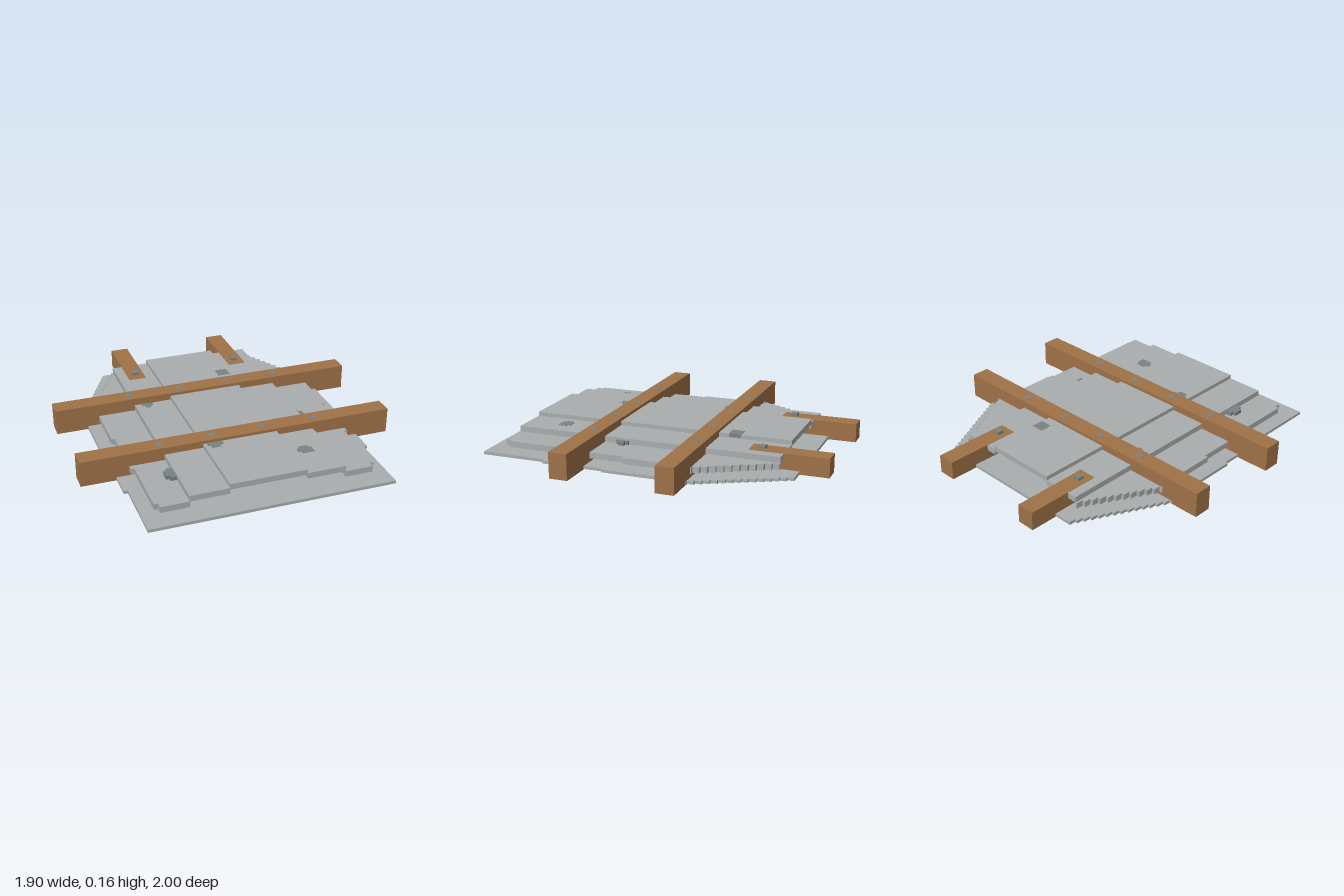
import * as THREE from 'three';

export function createModel() {
  const group = new THREE.Group();
  const mat = (name, color) => {
    const m = new THREE.MeshStandardMaterial({ color });
    m.name = name;
    return m;
  };
  const grey = mat('pale stone', 0xa9adad);
  const dark = mat('dark stone', 0x798384);
  const brown = mat('wood', 0x9f7248);

  const add = (name, geometry, material) => {
    const mesh = new THREE.Mesh(geometry, material);
    mesh.name = name;
    group.add(mesh);
  };
  // Box given by its limits on each axis
  const box = (name, material, x0, x1, y0, y1, z0, z1) => {
    const g = new THREE.BoxGeometry(x1 - x0, y1 - y0, z1 - z0);
    g.translate((x0 + x1) / 2, (y0 + y1) / 2, (z0 + z1) / 2);
    add(name, g, material);
  };
  // Slab with an outline of [x, z] points
  const slab = (name, points, y0, y1) => {
    const shape = new THREE.Shape(points.map(([x, z]) => new THREE.Vector2(x, z)));
    const g = new THREE.ExtrudeGeometry(shape, { depth: y1 - y0, bevelEnabled: false });
    g.rotateX(Math.PI / 2).translate(0, y1, 0);
    add(name, g, grey);
  };
  // Staircase edge running from front (x0, z0) to back (x1, z1)
  const stairs = (x0, z0, x1, z1, n) => {
    const pts = [];
    for (let i = 0; i < n; i++) {
      const x = x0 + (x1 - x0) * i / (n - 1);
      pts.push([x, z0 + (z1 - z0) * i / n], [x, z0 + (z1 - z0) * (i + 1) / n]);
    }
    return pts;
  };
  const flip = (pts) => pts.map(([x, z]) => [-x, z]);

  // Thin base plate with stepped sides
  const baseEdge = [
    [0.722, 1], [0.722, 0.6], [0.745, 0.6], [0.745, 0.22], [0.76, 0.22], [0.76, -0.26],
    ...stairs(0.78, -0.26, 0.512, -0.83, 15),
  ];
  slab('basePlate', [...baseEdge, ...flip(baseEdge).reverse()], 0.002, 0.02);

  // Outer planks, stepped to follow the base
  const outerEdge = [
    [0.457, 0.9], [0.625, 0.9], [0.625, 0.862], [0.648, 0.862], [0.648, 0.48], [0.668, 0.48],
    [0.668, 0.12], [0.688, 0.12], [0.688, -0.26],
    ...stairs(0.707, -0.26, 0.472, -0.735, 12), [0.457, -0.735],
  ];
  slab('outerPlankLeft', outerEdge, 0.041, 0.077);
  slab('outerPlankRight', flip(outerEdge), 0.041, 0.077);

  // Middle and centre planks, rising toward the middle
  box('middlePlankLeft', grey, 0.225, 0.457, 0.077, 0.112, -0.735, 0.9);
  box('middlePlankRight', grey, -0.46, -0.228, 0.077, 0.112, -0.735, 0.9);
  box('centrePlank', grey, -0.23, 0.225, 0.103, 0.137, -0.735, 0.9);

  // Cross beams with four nail heads each
  for (const [z0, z1] of [[-0.295, -0.185], [0.335, 0.446]]) {
    box('crossBeam', brown, -0.952, 0.95, 0, 0.155, z0, z1);
    const z = (z0 + z1) / 2;
    for (const x of [-0.477, -0.16, 0.152, 0.477]) {
      box('nailHead', dark, x - 0.018, x + 0.018, 0.14, 0.1565, z - 0.018, z + 0.018);
    }
  }

  // Rear handles with raised bolts
  for (const x of [-0.345, 0.341]) {
    box('rearHandle', brown, x - 0.055, x + 0.055, 0, 0.114, -1, -0.53);
    box('handleBolt', dark, x - 0.019, x + 0.019, 0.1, 0.132, -0.619, -0.581);
  }

  // Dark patches on the planks: x0, x1, y0, y1, z0, z1
  const patches = [
    [0.15, 0.2265, 0.117, 0.1385, -0.43, -0.355],
    [-0.42, -0.35, 0.1, 0.1135, -0.185, -0.155], [-0.402, -0.367, 0.1, 0.1135, -0.155, -0.128],
    [-0.21, -0.115, 0.12, 0.1385, 0.446, 0.48], [-0.193, -0.138, 0.12, 0.1385, 0.48, 0.506],
    [0.268, 0.36, 0.1, 0.1135, 0.638, 0.672], [0.285, 0.342, 0.1, 0.1135, 0.617, 0.638],
    [0.285, 0.36, 0.1, 0.1135, 0.672, 0.694],
  ];
  for (const p of patches) box('stonePatch', dark, ...p);

  // Raised lumps beside the middle planks
  const lumps = [
    [0.45, 0.472, 0.077, 0.1, 0.18, 0.255], [0.472, 0.492, 0.077, 0.1, 0.2, 0.235],
    [-0.495, -0.455, 0.077, 0.1, 0.575, 0.672], [-0.515, -0.495, 0.077, 0.1, 0.597, 0.65],
  ];
  for (const p of lumps) box('stoneLump', dark, ...p);

  return group;
}
